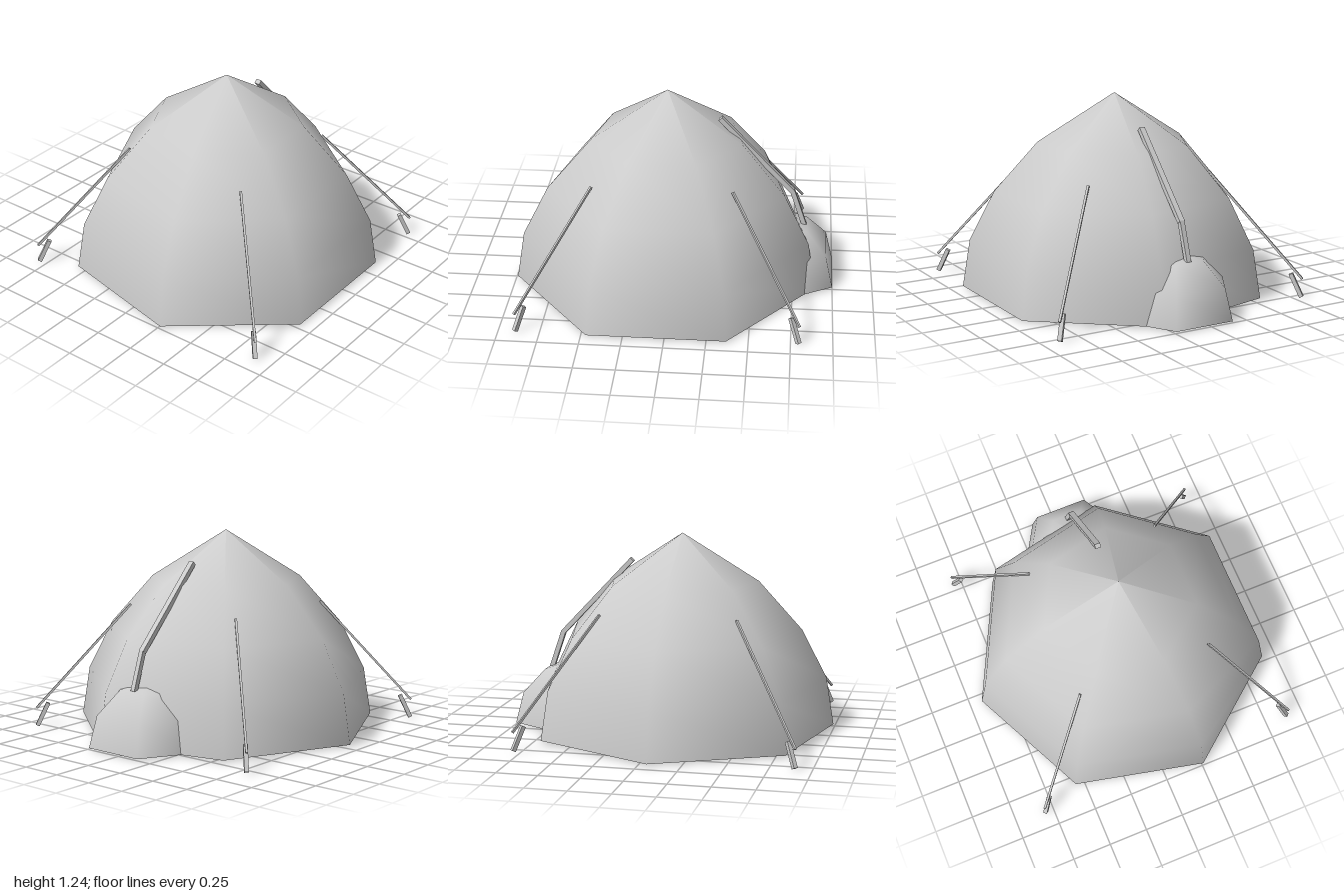
import * as THREE from 'three';

const material = new THREE.MeshStandardMaterial({ color: 0xcccccc });
const CX = 0.045, CZ = 0.05, FLOOR = 0.01;

// Closed faceted dome: lathed wall plus a floor facing down
function dome(name, profile, sides, phiStart, floorStart, x, z) {
  const group = new THREE.Group();
  group.name = name;
  const points = profile.map(([r, y]) => new THREE.Vector2(r, y));
  const wall = new THREE.Mesh(new THREE.LatheGeometry(points, sides, phiStart), material);
  wall.name = name + 'Wall';
  const floor = new THREE.Mesh(
    new THREE.CircleGeometry(profile[0][0], sides, floorStart).rotateX(Math.PI / 2), material);
  floor.name = name + 'Floor';
  floor.position.y = profile[0][1];
  group.add(wall, floor);
  group.position.set(x, 0, z);
  return group;
}

// Square bar between two points
function bar(name, from, to, width, depth) {
  const a = new THREE.Vector3(...from), b = new THREE.Vector3(...to);
  const mesh = new THREE.Mesh(new THREE.BoxGeometry(width, depth, a.distanceTo(b)), material);
  mesh.name = name;
  mesh.position.copy(a).add(b).multiplyScalar(0.5);
  mesh.lookAt(b);
  return mesh;
}

export function createModel() {
  const model = new THREE.Group();
  model.name = 'domeTent';

  // Seven-sided tent
  const tentProfile = [[0.965, FLOOR], [0.915, 0.315], [0.755, 0.625], [0.48, 0.935], [0, 1.24]];
  model.add(dome('tent', tentProfile, 7, -Math.PI / 2, Math.PI, CX, CZ));

  // Six-sided entrance bulge at the back, a low hemisphere
  const bulgeProfile = [];
  for (let i = 0; i <= 3; i++) {
    const a = i * Math.PI / 6;
    bulgeProfile.push([i === 3 ? 0 : 0.39 * Math.cos(a), FLOOR + 0.39 * Math.sin(a)]);
  }
  model.add(dome('entranceBulge', bulgeProfile, 6, Math.PI / 6, 0, CX, -0.662));

  // Bent pole running down the back
  model.add(bar('upperPole', [CX, 1.063, -0.274], [CX, 0.577, -0.734], 0.036, 0.03));
  model.add(bar('lowerPole', [CX, 0.585, -0.73], [CX, 0.35, -0.81], 0.03, 0.03));

  // Four guy ropes, each with a leaning peg
  for (const sx of [-1, 1]) {
    for (const sz of [-1, 1]) {
      const at = (d, y) => [CX + sx * d, y, CZ + sz * d];
      const guy = new THREE.Group();
      guy.name = (sz > 0 ? 'front' : 'back') + (sx > 0 ? 'Left' : 'Right') + 'Guy';
      guy.add(bar('rope', at(0.425, 0.775), at(0.85, 0.12), 0.014, 0.014));
      guy.add(bar('peg', at(0.848, 0.006), at(0.799, 0.15), 0.026, 0.026));
      model.add(guy);
    }
  }
  return model;
}
